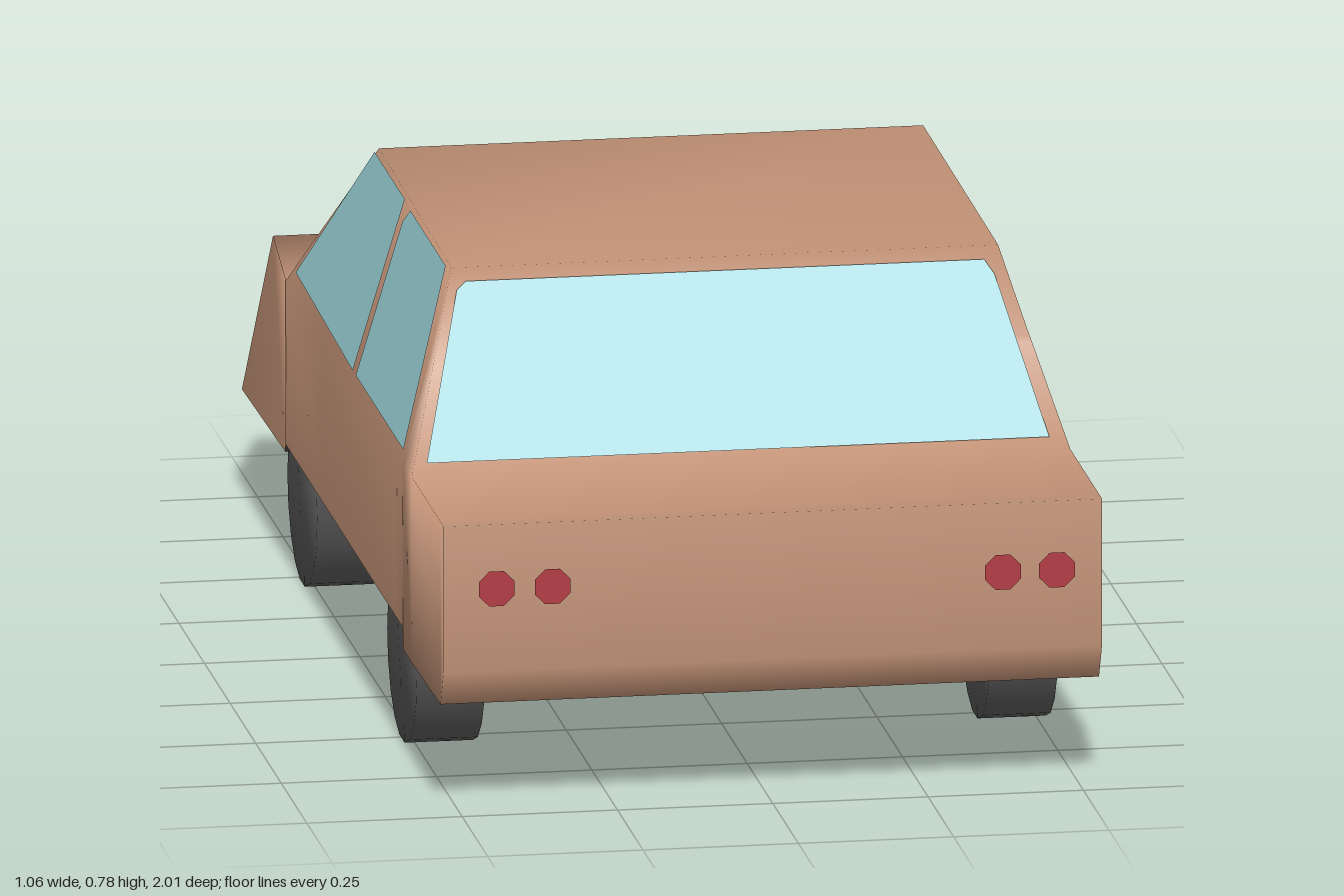
import * as THREE from 'three';
import { mergeVertices } from 'three/addons/utils/BufferGeometryUtils.js';

const paint = new THREE.MeshStandardMaterial({ name: 'body paint', color: 0xc29276 });
const glass = new THREE.MeshStandardMaterial({ name: 'glass', color: 0x98d0d6 });
const rubber = new THREE.MeshStandardMaterial({ name: 'rubber', color: 0x555555 });
const chassis = new THREE.MeshStandardMaterial({ name: 'chassis', color: 0x454545 });
const red = new THREE.MeshStandardMaterial({ name: 'tail light red', color: 0xb03a44 });
const yellow = new THREE.MeshStandardMaterial({ name: 'headlight yellow', color: 0xdcc030 });
const grilleTone = new THREE.MeshStandardMaterial({ name: 'grille beige', color: 0xb8a48a });

// Cross-sections along the car: z, bottom y, bottom half width, belt y, belt half width, roof y, roof half width
const SECTIONS = [
  [1, 0.24, 0.53, 0.48, 0.53, 0.48, 0.53],
  [0.97, 0.18, 0.53, 0.48, 0.53, 0.48, 0.53],
  [0.69, 0.175, 0.53, 0.48, 0.53, 0.48, 0.53],
  [0.605, 0.175, 0.53, 0.48, 0.53, 0.637, 0.482],
  [0.6, 0.21, 0.53, 0.48, 0.53, 0.646, 0.479],
  [0.53, 0.21, 0.53, 0.48, 0.53, 0.778, 0.44],
  [-0.19, 0.21, 0.53, 0.48, 0.53, 0.785, 0.438],
  [-0.54, 0.21, 0.53, 0.48, 0.53, 0.48, 0.53],
  [-0.545, 0.197, 0.53, 0.48, 0.53, 0.48, 0.53],
  [-1, 0.18, 0.525, 0.43, 0.475, 0.43, 0.475],
];

function smoothGeometry(positions, index) {
  let geo = new THREE.BufferGeometry();
  geo.setAttribute('position', new THREE.Float32BufferAttribute(positions, 3));
  geo.setIndex(index);
  geo = mergeVertices(geo);
  geo.computeVertexNormals();
  return geo;
}

function addMesh(parent, name, geo, material) {
  const mesh = new THREE.Mesh(geo, material);
  mesh.name = name;
  parent.add(mesh);
  return mesh;
}

// Painted shell and dark floor, both skinned over the same sections
function addBody(car) {
  const positions = [], shell = [], floor = [];
  for (const [z, yb, wb, ym, wm, yr, wr] of SECTIONS) {
    positions.push(wb, yb, z, wm, ym, z, wr, yr, z, -wr, yr, z, -wm, ym, z, -wb, yb, z);
  }
  for (let i = 0; i < SECTIONS.length - 1; i++) {
    for (let j = 0; j < 6; j++) {
      const a = i * 6 + j, b = i * 6 + (j + 1) % 6, c = a + 6, d = b + 6;
      const target = j === 5 && i >= 4 ? floor : shell;
      target.push(a, c, b, b, c, d);
    }
  }
  const e = (SECTIONS.length - 1) * 6;
  shell.push(0, 1, 4, 0, 4, 5, e, e + 4, e + 1, e, e + 5, e + 4);
  addMesh(car, 'bodyShell', smoothGeometry(positions, shell), paint);
  addMesh(car, 'underside', smoothGeometry(positions, floor), chassis);
}

// Thin convex panel lifted slightly off the body, facing outward
function addPanel(parent, name, points, material) {
  const pts = points.map((p) => new THREE.Vector3(...p));
  const normal = new THREE.Vector3().crossVectors(
    pts[1].clone().sub(pts[0]), pts[2].clone().sub(pts[0])).normalize();
  const centre = pts.reduce((s, p) => s.add(p), new THREE.Vector3()).divideScalar(pts.length);
  if (normal.dot(centre.sub(new THREE.Vector3(0, 0.4, 0))) < 0) {
    normal.negate();
    pts.reverse();
  }
  pts.forEach((p) => p.addScaledVector(normal, 0.005));
  const index = [];
  for (let i = 1; i < pts.length - 1; i++) index.push(0, i, i + 1);
  return addMesh(parent, name, smoothGeometry(pts.flatMap((p) => p.toArray()), index), material);
}

function addWindows(car) {
  // End windows, lying in the sloped planes of the cabin
  const rearZ = (y) => 0.69 - 0.16 * (y - 0.48) / 0.298;
  const foreZ = (y) => -0.54 + 0.35 * (y - 0.48) / 0.305;
  const outline = [[-0.505, 0.498], [0.497, 0.498], [0.43, 0.735], [0.415, 0.757], [-0.42, 0.757], [-0.435, 0.745]];
  addPanel(car, 'rearWindow', outline.map(([x, y]) => [x, y, rearZ(y)]), glass);
  const shield = [[-0.485, 0.505], [0.485, 0.505], [0.415, 0.755], [-0.415, 0.755]];
  addPanel(car, 'windshield', shield.map(([x, y]) => [x, y, foreZ(y)]), glass);

  // Side windows as [z, y], following the lean of the cabin
  const sideX = (y) => 0.53 - 0.0905 * (y - 0.48) / 0.3;
  const rearSide = [[0.6, 0.5], [0.135, 0.5], [0.135, 0.75], [0.165, 0.775], [0.51, 0.775]];
  const foreSide = [[0.105, 0.5], [-0.47, 0.51], [-0.19, 0.778], [0.105, 0.778]];
  for (const side of [1, -1]) {
    const label = side > 0 ? 'left' : 'right';
    addPanel(car, label + 'RearSideWindow', rearSide.map(([z, y]) => [side * sideX(y), y, z]), glass);
    addPanel(car, label + 'ForwardSideWindow', foreSide.map(([z, y]) => [side * sideX(y), y, z]), glass);
  }
}

function addLights(car) {
  const disc = new THREE.CircleGeometry(0.031, 8, Math.PI / 8);
  for (const [x, y] of [[-0.445, 0.375], [-0.355, 0.375], [0.37, 0.367], [0.457, 0.367]]) {
    addMesh(car, 'tailLight', disc, red).position.set(x, y, 1.003);
  }
  for (const x of [-0.41, -0.315, 0.315, 0.405]) {
    const lamp = addMesh(car, 'headlight', disc, yellow);
    lamp.position.set(x, 0.365, -1.003);
    lamp.rotation.y = Math.PI;
  }
  const grille = [[0.17, 0.332], [0.185, 0.355], [0.165, 0.395], [-0.15, 0.395], [-0.19, 0.355], [-0.18, 0.332]];
  addPanel(car, 'grille', grille.map(([x, y]) => [x, y, -1]), grilleTone);
}

function addWheels(car) {
  let geo = new THREE.CylinderGeometry(0.145, 0.145, 0.11, 18).rotateZ(Math.PI / 2);
  geo.deleteAttribute('normal');
  geo.deleteAttribute('uv');
  geo = mergeVertices(geo);
  geo.computeVertexNormals();
  for (const z of [0.51, -0.465]) {
    for (const x of [0.461, -0.461]) {
      addMesh(car, 'wheel', geo, rubber).position.set(x, 0.145, z);
    }
  }
}

export function createModel() {
  const car = new THREE.Group();
  car.name = 'car';
  addBody(car);
  addWindows(car);
  addLights(car);
  addWheels(car);
  return car;
}
